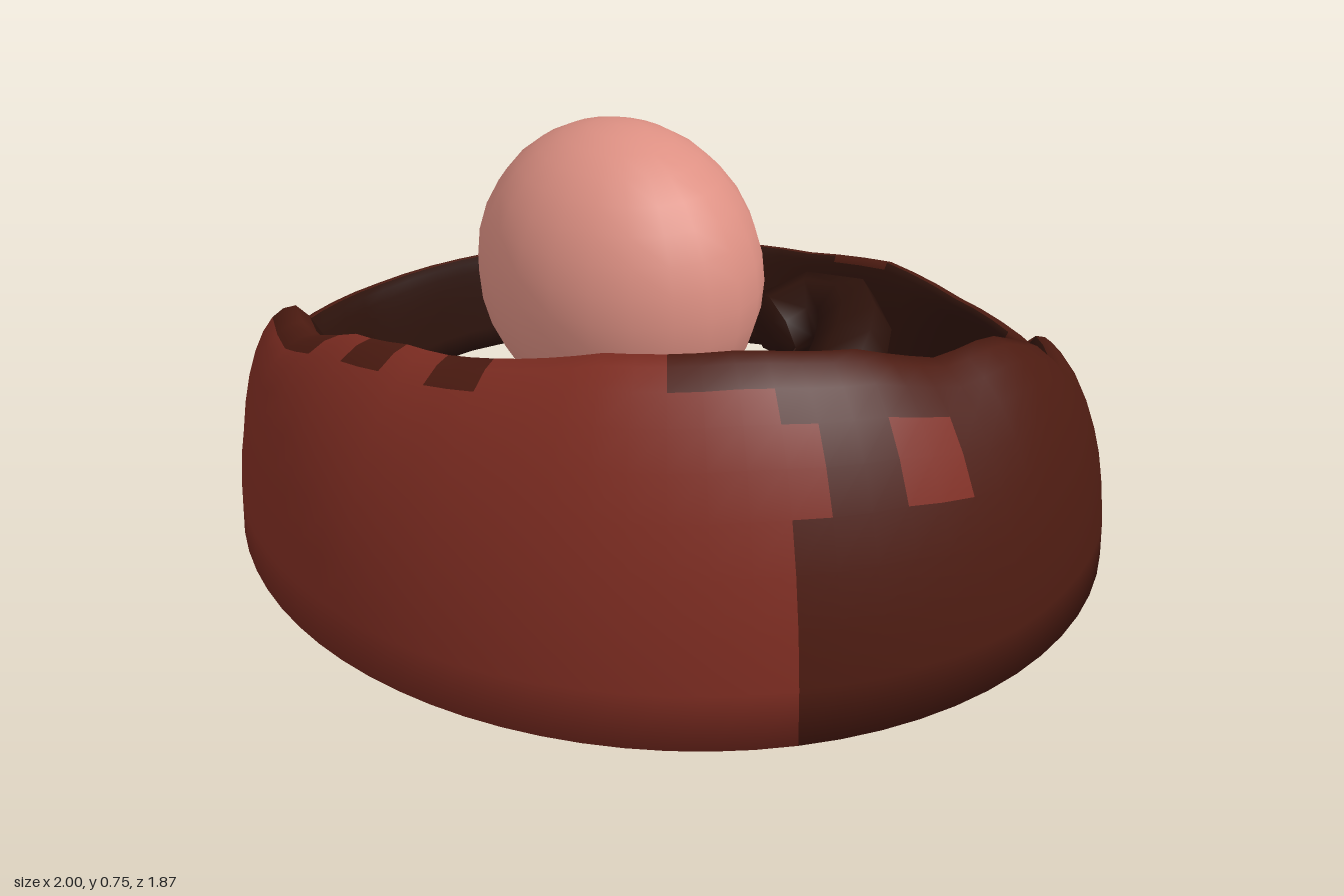
import * as THREE from 'three';

const RED = 0x7f2d22, BROWN = 0x4c1b11, DARK = 0x2b110a, PINK = 0xdd9083;
const COLS = 72, OUTER = 9, INNER = 7, BASE = 0.016;

// [angle in degrees (0 = +x, 90 = front), rim height, rim radius]
const RIM = [[-180, .27, .93], [-135, .25, .9], [-105, .27, .86], [-90, .3, .86], [-75, .28, .86], [-55, .29, .86],
  [-50, .35, .86], [-33, .4, .84], [-27, .46, .82], [-20, .55, .79], [-8, .63, .76], [5, .64, .74], [20, .71, .72],
  [38, .74, .7], [60, .725, .68], [75, .68, .67], [90, .64, .67], [100, .625, .68], [115, .58, .71], [131, .49, .78],
  [140, .5, .82], [150, .37, .88], [160, .3, .92], [180, .27, .93]];
// [angle, radius of the opening in the floor]
const HOLE = [[-180, .87], [-167, .89], [-142, .86], [-125, .79], [-105, .81], [-90, .78], [-75, .81], [-53, .81],
  [-47, .72], [-38, .72], [-31, .68], [-20, .54], [0, .5], [18, .42], [37, .38], [65, .41], [76, .41], [99, .43],
  [115, .46], [130, .53], [135, .6], [140, .62], [148, .61], [159, .79], [173, .87], [180, .87]];

// Piecewise linear lookup
function lookup(table, deg, col) {
  let i = 1;
  while (i < table.length - 1 && table[i][0] < deg) i++;
  const a = table[i - 1], b = table[i];
  return THREE.MathUtils.lerp(a[col], b[col], (deg - a[0]) / (b[0] - a[0]));
}

const noise = (i, j) => {
  const s = Math.sin(i * 12.99 + j * 78.23) * 43758.55;
  return s - Math.floor(s);
};

// Wall section at one angle: outer curve up to the rim, then down to the opening
function section(deg) {
  const a = THREE.MathUtils.degToRad(deg);
  const outer = 1 / Math.hypot(Math.cos(a), Math.sin(a) / 0.935);
  const h = lookup(RIM, deg, 1) - BASE, rim = lookup(RIM, deg, 2), hole = lookup(HOLE, deg, 1);
  const power = 0.65 + 2.1 * (outer - rim);
  const points = [];
  for (let j = 0; j <= OUTER; j++) {
    const p = j / OUTER * Math.PI / 2;
    points.push([rim + (outer - rim) * Math.max(0, Math.cos(p)) ** power, BASE + h * Math.sin(p)]);
  }
  for (let j = 1; j <= INNER; j++) {
    const t = j / INNER;
    points.push([rim + (hole - rim) * t, BASE + h * (1 - t ** 1.5)]);
  }
  return points;
}

// Sweeps the closed sections round the ring and splits the faces by colour
function addRing(group, name, colourOf) {
  const pos = [], faces = new Map(), all = [];
  const rows = OUTER + INNER + 1;
  for (let i = 0; i < COLS; i++) {
    const deg = -180 + 360 * i / COLS, a = THREE.MathUtils.degToRad(deg);
    for (const [r, y] of section(deg)) pos.push(r * Math.cos(a), y, r * Math.sin(a));
    for (let j = 0; j < rows; j++) {
      const p = i * rows, q = ((i + 1) % COLS) * rows, k = (j + 1) % rows;
      const colour = colourOf(deg, i, j);
      if (!faces.has(colour)) faces.set(colour, []);
      const quad = [p + j, p + k, q + j, q + j, p + k, q + k];
      faces.get(colour).push(...quad);
      all.push(...quad);
    }
  }
  const whole = new THREE.BufferGeometry();
  whole.setAttribute('position', new THREE.Float32BufferAttribute(pos, 3));
  whole.setIndex(all);
  whole.computeVertexNormals();
  for (const [colour, index] of faces) {
    const g = whole.clone();
    g.setIndex(index);
    const mesh = new THREE.Mesh(g, new THREE.MeshStandardMaterial({ color: colour }));
    mesh.name = name;
    group.add(mesh);
  }
}

function addBall(group, name, colour, radii, centre, w, h) {
  const mesh = new THREE.Mesh(new THREE.SphereGeometry(1, w, h), new THREE.MeshStandardMaterial({ color: colour }));
  mesh.scale.set(...radii);
  mesh.position.set(...centre);
  mesh.name = name;
  group.add(mesh);
}

export function createModel() {
  const group = new THREE.Group();
  group.name = 'bowlWithBalls';

  // Bowl: red front, brown sides and back, dark inside, ragged rim patches, uneven strips underneath
  addRing(group, 'bowl', (deg, i, j) => {
    const patch = noise(i >> 1, 5);
    if (j === OUTER + INNER) {
      return deg < 0 ? BROWN : [DARK, BROWN, RED][Math.floor(noise(i, 3) * 3)];
    }
    if (j >= OUTER) return j === OUTER && patch > 0.75 ? BROWN : DARK;
    const front = deg >= 35 && deg < 155;
    const sidePatch = deg > 5 && deg < 35 && j > OUTER - 6 && noise(i >> 1, j >> 1) > 0.55;
    const rimPatch = j >= OUTER - 2 && patch > 0.7;
    return (front || sidePatch) && !rimPatch ? RED : BROWN;
  });

  // Winding cord on the floor
  const path = [[.12, .2, .42], [.09, .13, .3], [.05, .09, .12], [.12, .13, .02], [.19, .17, -.12], [.23, .21, -.25],
    [.195, .26, -.42], [.07, .28, -.595], [-.03, .27, -.58], [-.07, .24, -.5]].map(p => new THREE.Vector3(...p));
  const cord = new THREE.Mesh(
    new THREE.TubeGeometry(new THREE.CatmullRomCurve3(path), 14, 0.09, 7),
    new THREE.MeshStandardMaterial({ color: DARK, side: THREE.DoubleSide }));
  cord.name = 'cord';
  group.add(cord);
  addBall(group, 'cordTip', DARK, [.075, .08, .04], [-.07, .24, -.5], 7, 5);

  // Balls
  addBall(group, 'largeBall', PINK, [.37, .366, .31], [-.37, .389, -.262], 22, 16);
  addBall(group, 'smallBall', PINK, [.115, .115, .115], [.06, .27, .055], 10, 8);
  return group;
}
